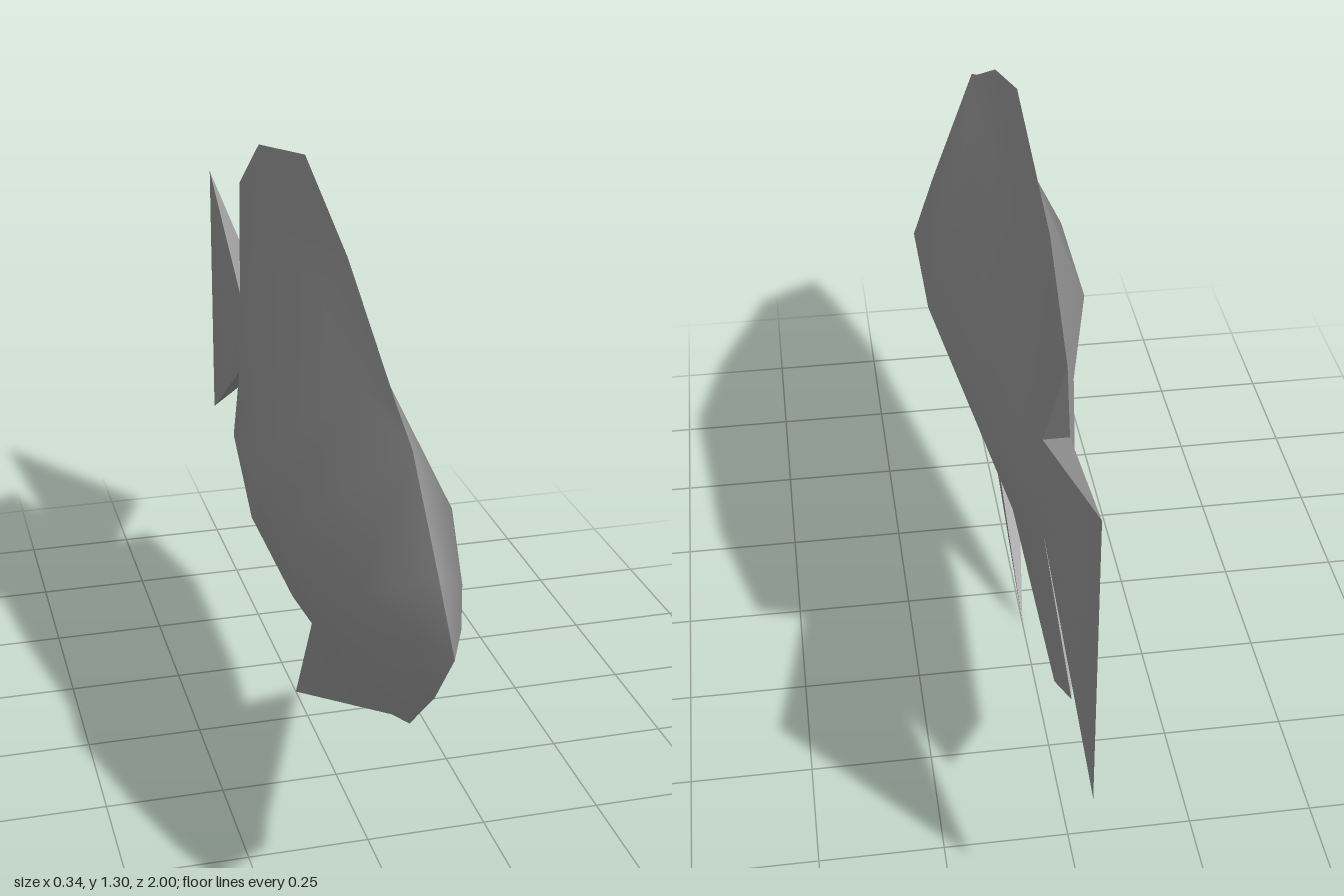
import * as THREE from 'three';

// Rows run nose to tail on one flank; each point is [z, y, half thickness].
const nose = [1, 0.7, 0];
const brow = [0.9, 0.81, 0], crown = [0.74, 0.975, 0];
const chin = [0.9, 0.57, 0], throat = [0.76, 0.435, 0];
const pelvicRoot = [0.14, 0.32, 0.026];
const pelvicTip = [-0.11, 0.005, 0];
const upperNotch = [-0.54, 0.84, 0.026], lowerNotch = [-0.56, 0.635, 0.026];
const tailTop = [-1, 1.01, 0], tailBottom = [-1, 0.37, 0];

const dorsalEdge = [[0.64, 1.02, 0], [0.31, 1.19, 0], [-0.02, 1.305, 0], [-0.44, 1.22, 0], [-0.65, 1.075, 0]];
const upperBase = [nose, brow, crown, [0.5, 1.0, 0.03], [0.2, 1.09, 0.028], [-0.12, 1.09, 0.026], [-0.38, 0.98, 0.026], upperNotch];
const middle = [nose, [0.9, 0.7, 0.045], [0.74, 0.7, 0.1], [0.46, 0.715, 0.172], [0.14, 0.715, 0.172],
  [-0.18, 0.72, 0.095], [-0.43, 0.73, 0.055], [-0.57, 0.735, 0.026]];
const lowerBase = [nose, chin, throat, [0.5, 0.39, 0.028], pelvicRoot, [-0.14, 0.36, 0.026], [-0.42, 0.5, 0.026], lowerNotch];
const pelvicFront = [0.65, 0.39, 0];
const analEdge = [[0.14, 0.32, 0], [-0.14, 0.24, 0], [-0.56, 0.245, 0], [-0.76, 0.385, 0]];

// Triangles joining an upper row to a lower row, facing +x
function strip(upper, lower) {
  const tris = [];
  for (let i = 0; i < upper.length - 1; i++) {
    tris.push([upper[i], lower[i], lower[i + 1]], [upper[i], lower[i + 1], upper[i + 1]]);
  }
  return tris;
}

const flankParts = {
  body: [...strip(upperBase, middle), ...strip(middle, lowerBase)],
  dorsalFin: [...strip([crown, ...dorsalEdge], upperBase.slice(2))],
  analFin: strip(lowerBase.slice(4), analEdge),
  pelvicFin: [[throat, pelvicFront, lowerBase[3]], [lowerBase[3], pelvicFront, pelvicTip], [lowerBase[3], pelvicTip, pelvicRoot]],
  tailFin: strip([upperNotch, tailTop], [middle[7], [-1, 0.7, 0]])
    .concat(strip([middle[7], [-1, 0.7, 0]], [lowerNotch, tailBottom])),
};

// One smooth flank: the parts share normals so shading runs across them
function createFlank(side, material) {
  const group = new THREE.Group();
  group.name = side > 0 ? 'leftFlank' : 'rightFlank';
  const ids = new Map(), positions = [], indices = {};
  const id = (p) => {
    const key = p.join();
    if (!ids.has(key)) {
      ids.set(key, ids.size);
      positions.push(side * p[2], p[1], p[0]);
    }
    return ids.get(key);
  };
  for (const [name, tris] of Object.entries(flankParts)) {
    indices[name] = [];
    for (const tri of tris) {
      const [a, b, c] = tri.map(id);
      if (a === b || b === c || a === c) continue;
      indices[name].push(...(side > 0 ? [a, c, b] : [a, b, c]).reverse());
    }
  }
  const whole = new THREE.BufferGeometry();
  whole.setAttribute('position', new THREE.Float32BufferAttribute(positions, 3));
  whole.setIndex(Object.values(indices).flat());
  whole.computeVertexNormals();
  for (const [name, index] of Object.entries(indices)) {
    const geometry = new THREE.BufferGeometry();
    geometry.setAttribute('position', whole.attributes.position);
    geometry.setAttribute('normal', whole.attributes.normal);
    geometry.setIndex(index);
    const mesh = new THREE.Mesh(geometry, material);
    mesh.name = name;
    group.add(mesh);
  }
  return group;
}

// Narrow wedge closing the gap between the flanks, from a notch to a fin tip
function createNotchWall(name, root, tip, up, material) {
  const left = [root[2], root[1], root[0]], right = [-root[2], root[1], root[0]];
  const end = [0, tip[1], tip[0]];
  const corners = (tip[0] < root[0]) === up ? [left, end, right] : [left, right, end];
  const geometry = new THREE.BufferGeometry();
  geometry.setAttribute('position', new THREE.Float32BufferAttribute(corners.flat(), 3));
  geometry.computeVertexNormals();
  const mesh = new THREE.Mesh(geometry, material);
  mesh.name = name;
  return mesh;
}

export function createModel() {
  const model = new THREE.Group();
  model.name = 'fish';
  const grey = new THREE.MeshStandardMaterial({ color: 0x999999 });
  grey.name = 'grey';
  model.add(createFlank(1, grey), createFlank(-1, grey));

  // Rear edges of the fins and the upper and lower edges of the tail
  model.add(
    createNotchWall('dorsalFinRearEdge', upperNotch, dorsalEdge[4], false, grey),
    createNotchWall('tailUpperEdge', upperNotch, tailTop, true, grey),
    createNotchWall('tailLowerEdge', lowerNotch, tailBottom, false, grey),
    createNotchWall('analFinRearEdge', lowerNotch, analEdge[3], true, grey),
    createNotchWall('pelvicFinRearEdge', pelvicRoot, pelvicTip, true, grey),
  );
  return model;
}
